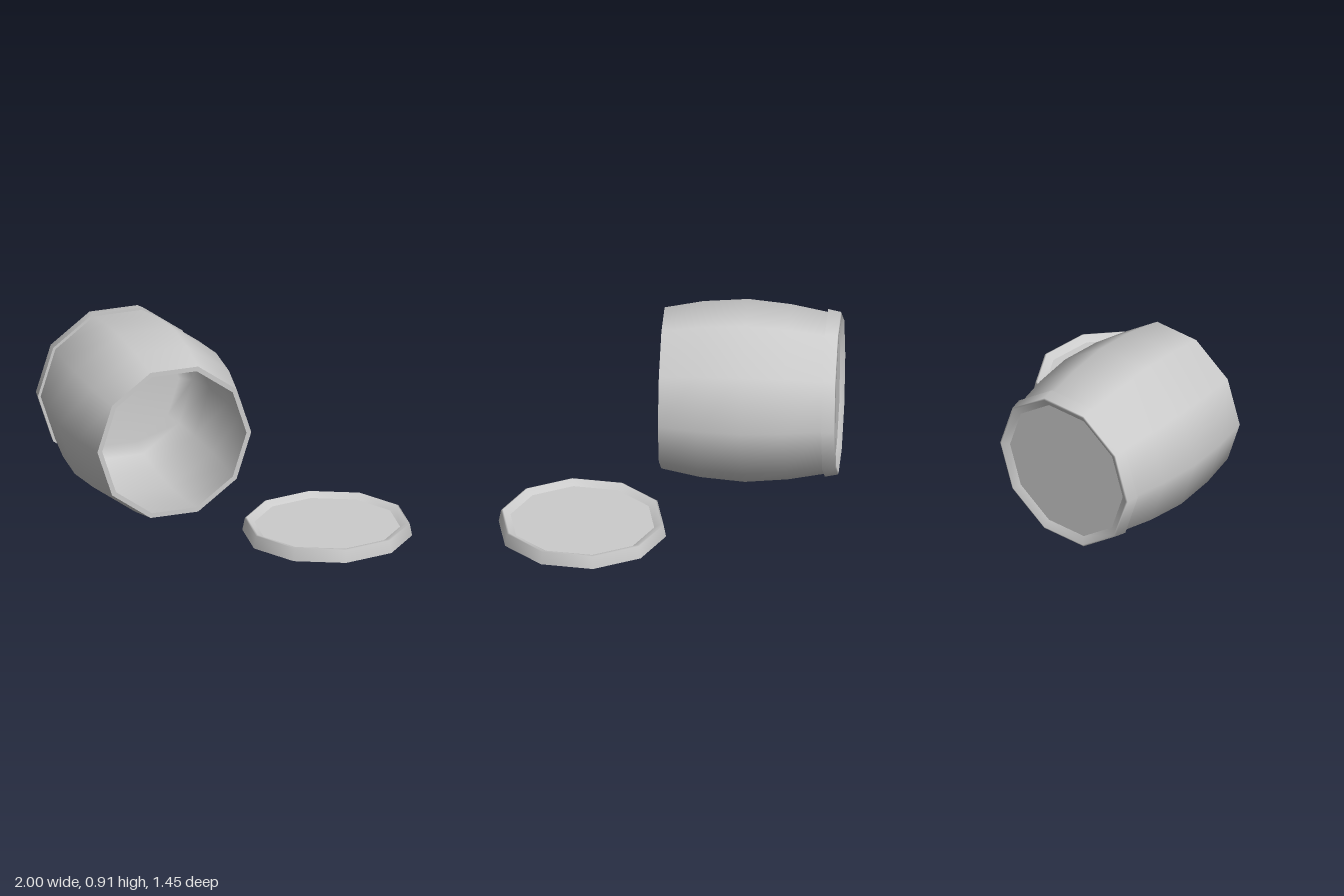
import * as THREE from 'three';

const SIDES = 10;
const material = new THREE.MeshStandardMaterial({ color: 0xcccccc });

// Ten-sided surface of revolution; smooth along the profile, corner on the x axis.
function lathe(name, profile) {
  const points = profile.map(([r, y]) => new THREE.Vector2(r, y));
  const mesh = new THREE.Mesh(new THREE.LatheGeometry(points, SIDES, Math.PI / 2), material);
  mesh.name = name;
  return mesh;
}

// Round plate with a raised, slightly tapered rim and a sunken panel.
function createPlate(name) {
  const plate = new THREE.Group();
  plate.name = name;
  plate.add(
    lathe('plateUnderside', [[0, 0], [0.437, 0]]),
    lathe('plateRim', [[0.437, 0], [0.424, 0.066], [0.414, 0.07], [0.375, 0.046]]),
    lathe('platePanel', [[0.375, 0.046], [0, 0.046]]),
  );
  return plate;
}

// Open barrel along y: mouth at y = 0, closed end below.
function createBarrel() {
  const barrel = new THREE.Group();
  barrel.name = 'barrel';
  const outside = [[0.42, -0.85], [0.457, -0.65], [0.477, -0.43], [0.459, -0.2], [0.42, 0]];
  const inside = [[0.394, 0], [0.432, -0.2], [0.45, -0.43], [0.43, -0.65], [0.39, -0.79], [0.33, -0.83], [0, -0.835]];
  barrel.add(
    lathe('barrelWall', outside),
    lathe('mouthEdge', [[0.42, 0], [0.394, 0]]),
    lathe('barrelInside', inside),
  );
  const base = createPlate('barrelBase');
  base.position.y = -0.84;
  base.rotation.x = Math.PI;
  barrel.add(base);
  return barrel;
}

export function createModel() {
  const model = new THREE.Group();
  model.name = 'openBarrelWithLid';

  // Barrel lying on its side, mouth turned towards the lid
  const barrel = createBarrel();
  barrel.rotation.set(Math.PI / 2, 0.442, 0, 'YXZ');
  barrel.position.set(-0.23, 0.455, 0.27);

  // Lid flat on the ground
  const lid = createPlate('lid');
  lid.position.set(0.56, 0, 0.305);

  model.add(barrel, lid);
  return model;
}
